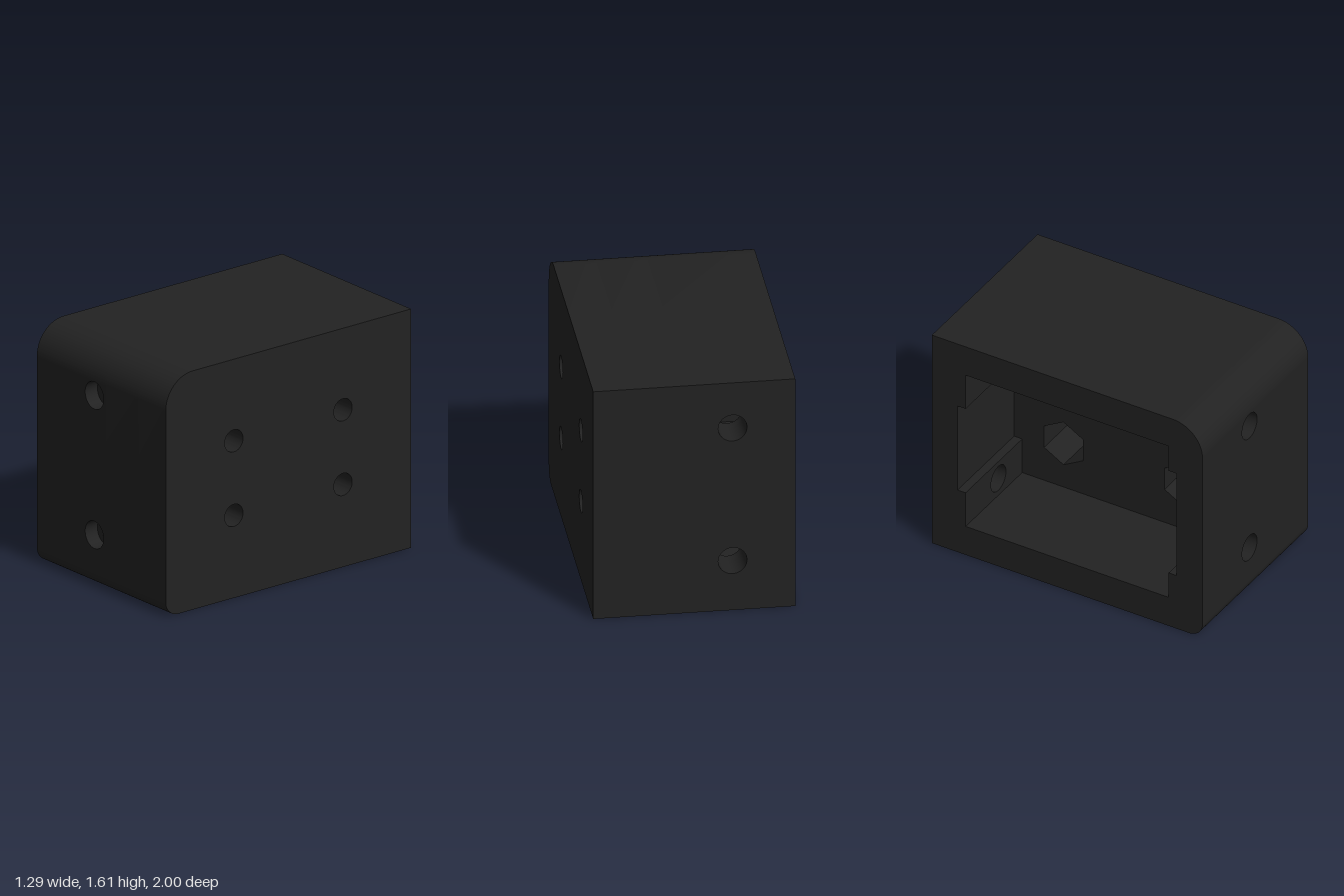
import * as THREE from 'three';
import { toCreasedNormals } from 'three/addons/utils/BufferGeometryUtils.js';

const HALF_W = 0.645, HEIGHT = 1.61, WALL = 0.22;
const TOP = HEIGHT - WALL;          // cavity ceiling
const FLOOR_X = 0.045;              // bottom of the cavity, which opens on -x
const POCKET_X = 0.37;              // bottom of the nut pockets
const material = new THREE.MeshStandardMaterial({ color: 0x222222 });

export function createModel() {
  const group = new THREE.Group();

  const add = (name, geometry) => {
    const mesh = new THREE.Mesh(toCreasedNormals(geometry, 0.5), material);
    mesh.name = name;
    group.add(mesh);
  };
  const extrude = (shape, holes, depth) => {
    shape.holes.push(...holes);
    return new THREE.ExtrudeGeometry(shape, { depth, bevelEnabled: false, curveSegments: 24 });
  };
  // Side profile (drawn with -z to the right) swept from x0 to x1
  const alongX = (name, shape, x0, x1, holes = []) =>
    add(name, extrude(shape, holes, x1 - x0).rotateY(Math.PI / 2).translate(x0, 0, 0));
  // Upright plate beside the cavity, from z0 to z1
  const plate = (name, y0, y1, z0, z1, holes) => {
    const s = new THREE.Shape();
    s.moveTo(-HALF_W, y0).lineTo(FLOOR_X, y0).lineTo(FLOOR_X, y1).lineTo(-HALF_W, y1).closePath();
    add(name, extrude(s, holes, z1 - z0).translate(0, 0, z0));
  };

  // Slice of the housing profile, with optional rounded front corners
  const profile = (y0, y1, rBottom, rTop) => {
    const s = new THREE.Shape();
    s.moveTo(1, y0).lineTo(1, y1).lineTo(-1 + rTop, y1);
    if (rTop) s.absarc(-1 + rTop, y1 - rTop, rTop, Math.PI / 2, Math.PI, false);
    s.lineTo(-1, y0 + rBottom);
    if (rBottom) s.absarc(-1 + rBottom, y0 + rBottom, rBottom, Math.PI, Math.PI * 1.5, false);
    s.closePath();
    return s;
  };

  // Hole outlines
  const circle = (x, y, r) => new THREE.Path().absarc(x, y, r, 0, Math.PI * 2, true);
  const hexagon = (x, y, r) => new THREE.Path().setFromPoints(
    Array.from({ length: 7 }, (_, i) => {
      const a = Math.PI / 2 - i * Math.PI / 3;
      return new THREE.Vector2(x + r * Math.cos(a), y + r * Math.sin(a));
    }));
  const teardrop = (x, y, r) => {
    const p = new THREE.Path();
    p.moveTo(x - r * Math.SQRT2, y);
    p.absarc(x, y, r, Math.PI * 0.75, -Math.PI * 0.75, true);
    p.closePath();
    return p;
  };

  // Thick mounting wall: nut pockets inside, bolt holes outside
  const bolts = [];
  for (const z of [-0.445, 0.445]) for (const y of [0.557, 1.06]) bolts.push([z, y]);
  alongX('nutPocketWall', profile(0, HEIGHT, 0.1, 0.22), FLOOR_X, POCKET_X,
    bolts.map(([z, y]) => hexagon(z, y, 0.165)));
  alongX('mountingWall', profile(0, HEIGHT, 0.1, 0.22), POCKET_X, HALF_W,
    bolts.map(([z, y]) => circle(z, y, 0.075)));

  // Roof and base of the cavity
  alongX('roof', profile(TOP, HEIGHT, 0, 0.22), -HALF_W, FLOOR_X);
  alongX('base', profile(0, WALL, 0.1, 0), -HALF_W, FLOOR_X);

  // Front wall: counterbores leading to teardrop screw holes
  const screwY = [0.35, 1.29];
  plate('frontWallOuter', WALL, TOP, 0.9, 1, screwY.map(y => circle(-0.07, y, 0.092)));
  plate('frontWallInner', WALL, TOP, 0.81, 0.9, screwY.map(y => teardrop(-0.07, y, 0.05)));
  // Back wall with plain access holes
  plate('backWall', WALL, TOP, -1, -0.81, screwY.map(y => circle(-0.245, y, 0.092)));

  // Screw rails along the cavity corners
  screwY.forEach((y, i) => {
    const rail = h => (i ? [TOP - h, TOP] : [WALL, WALL + h]);
    plate('frontRail', ...rail(0.19), 0.75, 0.81, [teardrop(-0.07, y, 0.05)]);
    plate('backRail', ...rail(0.26), -0.81, -0.75, [circle(-0.245, y, 0.092)]);
  });

  return group;
}
